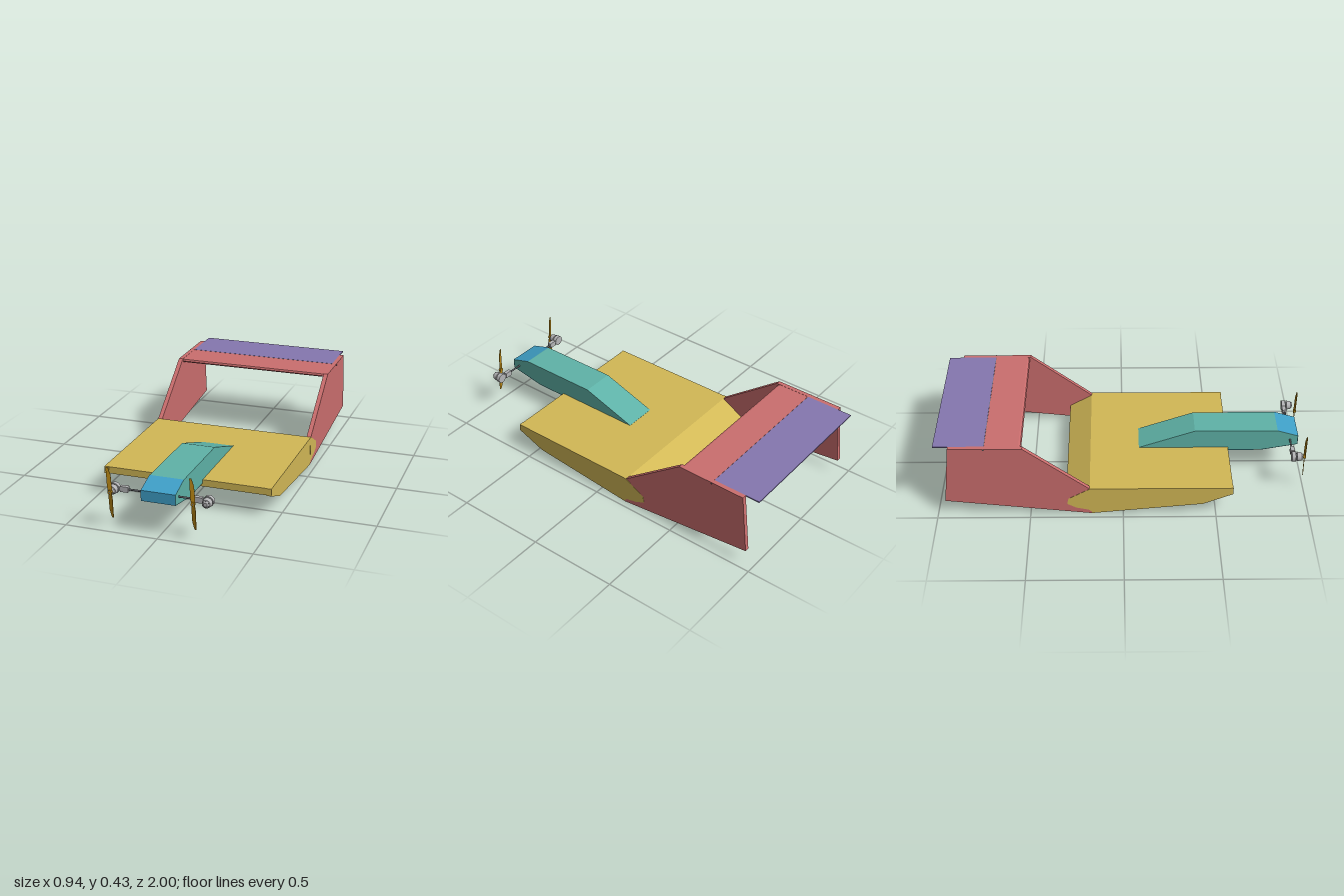
import * as THREE from 'three';

const mat = (name, color, double) => {
  const m = new THREE.MeshStandardMaterial({ color });
  m.name = name;
  if (double) m.side = THREE.DoubleSide;
  return m;
};

export function createModel() {
  const model = new THREE.Group();
  model.name = 'groundEffectCraft';
  const yellow = mat('hullYellow', 0xd2b856);
  const red = mat('tailRed', 0xcb6e6e);
  const teal = mat('bodyTeal', 0x5fb3a8);
  const blue = mat('noseBlue', 0x3fa0c8, true);
  const purple = mat('elevatorPurple', 0x8577b0);
  const gold = mat('propellerGold', 0xb58414);
  const grey = mat('motorGrey', 0xb4b4b6);
  const dark = mat('rodGrey', 0x6c6e72);

  const add = (name, geo, material, parent = model) => {
    const mesh = new THREE.Mesh(geo, material);
    mesh.name = name;
    parent.add(mesh);
    return mesh;
  };
  // Side profile given as [z, y] points, extruded across x0..x1
  const slab = (pts, x0, x1) => {
    const shape = new THREE.Shape(pts.map(([z, y]) => new THREE.Vector2(-z, y)));
    return new THREE.ExtrudeGeometry(shape, { depth: x1 - x0, bevelEnabled: false })
      .rotateY(Math.PI / 2).translate(x0, 0, 0);
  };
  const box = (w, h, d, x, y, z) => new THREE.BoxGeometry(w, h, d).translate(x, y, z);

  // Wing-shaped hull with a stepped trailing edge
  add('hull', slab([[0.588, 0.165], [0.588, 0.127], [-0.17, 0.002], [-0.185, 0.04],
    [-0.308, 0.06], [-0.308, 0.09], [-0.18, 0.165]], -0.44, 0.44), yellow);

  // Side walls, corner wedges, fins
  const wall = [[0.59, 0.165], [0.59, 0.125], [0.43, 0.06], [-0.17, 0], [-0.18, 0.165]];
  const wedge = [[0.587, 0.128], [0.49, 0.085], [0.49, 0.125]];
  const fin = [[-0.18, 0.165], [-0.17, 0], [-0.955, 0.09], [-0.92, 0.43], [-0.53, 0.43]];
  const patch = [[-0.17, 0.165], [-0.18, 0.165], [-0.295, 0.1], [-0.302, 0.065],
    [-0.255, 0.04], [-0.185, 0.024], [-0.17, 0.01]];
  for (const s of [1, -1]) {
    const side = (name, pts, a, b, m) =>
      add(name, slab(pts, Math.min(s * a, s * b), Math.max(s * a, s * b)), m);
    side('sideWall', wall, 0.44, 0.465, yellow);
    side('cornerWedge', wedge, 0.33, 0.44, yellow);
    side('fin', fin, 0.44, 0.465, red);
    side('finRootPatch', patch, 0.465, 0.4665, yellow);
  }

  // Tailplane with tapered rear, hinge rod and elevator
  add('tailplane', slab([[-0.54, 0.425], [-0.535, 0.415], [-0.545, 0.406], [-0.73, 0.406],
    [-0.73, 0.429], [-0.55, 0.429]], -0.44, 0.44), red);
  add('hingeRod', new THREE.CylinderGeometry(0.003, 0.003, 0.94, 8)
    .rotateZ(Math.PI / 2).translate(0, 0.426, -0.732), dark);
  add('elevator', box(0.88, 0.007, 0.268, 0, 0.4265, -0.866), purple);

  // Fuselage pod
  const bodyPts = [[0.86, 0.275], [0.975, 0.24], [0.975, 0.185], [0.77, 0.147],
    [0.58, 0.147], [0.09, 0.16], [0.09, 0.166], [0.4, 0.275]];
  add('fuselage', slab(bodyPts, -0.092, 0.092), teal);

  // Blue skin wrapped around the nose, top to belly
  const skin = [[0.86, 0.2765], [0.9765, 0.241], [0.9765, 0.184], [0.77, 0.1455], [0.59, 0.1455]];
  const pos = [];
  for (let i = 0; i < skin.length - 1; i++) {
    const [z0, y0] = skin[i], [z1, y1] = skin[i + 1], w = 0.092;
    pos.push(-w, y0, z0, -w, y1, z1, w, y1, z1, -w, y0, z0, w, y1, z1, w, y0, z0);
  }
  const noseGeo = new THREE.BufferGeometry();
  noseGeo.setAttribute('position', new THREE.Float32BufferAttribute(pos, 3));
  noseGeo.computeVertexNormals();
  add('noseSkin', noseGeo, blue);

  // Motor boom through the nose
  const Y = 0.215, Z = 0.932;
  add('motorBoom', new THREE.CylinderGeometry(0.005, 0.005, 0.38, 10)
    .rotateZ(Math.PI / 2).translate(0, Y, Z), dark);

  const cyl = (r0, r1, z0, z1, x) => new THREE.CylinderGeometry(r0, r1, z1 - z0, 20)
    .rotateX(Math.PI / 2).translate(x, Y, (z0 + z1) / 2);

  // Motors, with cooling-slot bars on the bell
  for (const s of [1, -1]) {
    const motor = new THREE.Group();
    motor.name = s > 0 ? 'leftMotor' : 'rightMotor';
    const x = s * 0.25;
    add('boomClamp', box(0.042, 0.03, 0.022, s * 0.196, Y, Z), grey, motor);
    add('clampNeck', box(0.03, 0.018, 0.016, s * 0.22, Y, Z), grey, motor);
    add('motorMount', cyl(0.028, 0.028, 0.922, 0.943, x), grey, motor);
    add('motorShaftBase', cyl(0.016, 0.016, 0.943, 0.95, x), dark, motor);
    add('motorBell', cyl(0.022, 0.026, 0.95, 0.975, x), grey, motor);
    add('motorCap', cyl(0.01, 0.02, 0.975, 0.984, x), grey, motor);
    for (let i = 0; i < 6; i++) {
      add('coolingSlot', new THREE.BoxGeometry(0.003, 0.008, 0.002)
        .translate(0, 0.016, 0).rotateZ(i * Math.PI / 3).translate(x, Y, 0.979), dark, motor);
    }
    model.add(motor);
  }

  // Two-bladed propellers
  const blade = new THREE.Shape([[-0.008, 0], [-0.014, 0.03], [-0.018, 0.135], [-0.008, 0.134],
    [0.005, 0.095], [0.010, 0.02], [0.008, 0]].map(p => new THREE.Vector2(...p)));
  for (const x of [-0.25, 0.19]) {
    const prop = new THREE.Group();
    prop.name = 'propeller';
    prop.position.set(x, Y, 0.992);
    for (let i = 0; i < 2; i++) {
      const geo = new THREE.ExtrudeGeometry(blade, { depth: 0.003, bevelEnabled: false })
        .translate(0, 0, -0.0015).rotateY(0.25).rotateZ(i * Math.PI);
      add('blade', geo, gold, prop);
    }
    add('hub', new THREE.CylinderGeometry(0.011, 0.011, 0.014, 16).rotateX(Math.PI / 2), gold, prop);
    add('hubBore', new THREE.CylinderGeometry(0.004, 0.004, 0.002, 10)
      .rotateX(Math.PI / 2).translate(0, 0, 0.007), dark, prop);
    model.add(prop);
  }
  return model;
}
